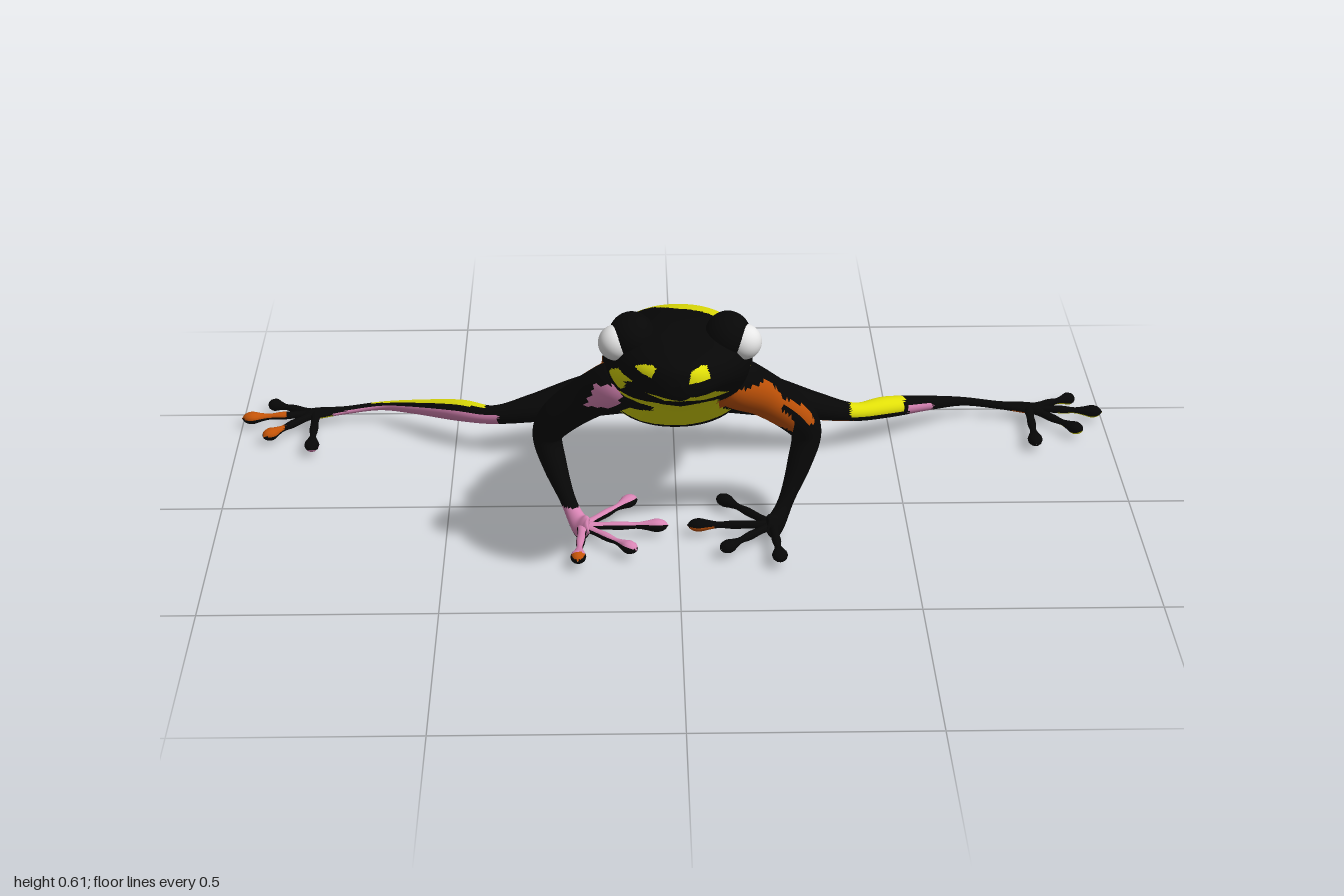
import * as THREE from 'three';

const V = (x, y, z) => new THREE.Vector3(x, y, z);
const mat = (name, color) => {
  const m = new THREE.MeshStandardMaterial({ color });
  m.name = name;
  return m;
};
const BLACK = 0, YELLOW = 1, ORANGE = 2, PINK = 3;

// Is (u, v) inside a polygon given as flat pairs?
function inside(u, v, poly) {
  let hit = false;
  for (let i = 0, j = poly.length - 2; i < poly.length; j = i, i += 2) {
    const [ax, ay, bx, by] = [poly[i], poly[i + 1], poly[j], poly[j + 1]];
    if (ay > v !== by > v && u < ((bx - ax) * (v - ay)) / (by - ay) + ax) hit = !hit;
  }
  return hit;
}

// Smooth skin through sections [x, y, z, radiusSide, radiusUp]; paint(point, normal) picks each face's colour.
function skin(name, sections, nu, nv, palette, paint, { up = V(0, 1, 0), axis = null, power = 1 } = {}) {
  const path = new THREE.CatmullRomCurve3(sections.map((s) => V(s[0], s[1], s[2])), false, 'catmullrom', 0.5);
  const radii = new THREE.CatmullRomCurve3(sections.map((s) => V(s[3], s[4], 0)), false, 'catmullrom', 0.5);
  const bend = (a) => Math.sign(a) * Math.pow(Math.abs(a), power);
  const pts = [];
  for (let i = 0; i <= nu; i++) {
    const t = i / nu, c = path.getPoint(t), r = radii.getPoint(t);
    const T = axis || path.getTangent(t);
    const S = up.clone().cross(T).normalize(), U = T.clone().cross(S);
    for (let j = 0; j < nv; j++) {
      const a = (j / nv) * Math.PI * 2;
      pts.push(c.clone().addScaledVector(S, bend(Math.cos(a)) * Math.max(r.x, 0.0005))
        .addScaledVector(U, bend(Math.sin(a)) * Math.max(r.y, 0.0005)));
    }
  }
  const faces = palette.map(() => []);
  const tri = new THREE.Triangle(), p = V(0, 0, 0), n = V(0, 0, 0);
  for (let i = 0; i < nu; i++) for (let j = 0; j < nv; j++) {
    const a = i * nv + j, b = i * nv + ((j + 1) % nv), c = b + nv, d = a + nv;
    for (const f of [[a, b, c], [a, c, d]]) {
      tri.set(...f.map((k) => pts[k]));
      tri.getMidpoint(p);
      tri.getNormal(n);
      faces[paint(p, n)].push(...f);
    }
  }
  const g = new THREE.BufferGeometry().setFromPoints(pts);
  g.setIndex(faces.flat());
  let start = 0;
  faces.forEach((f, k) => {
    if (f.length) g.addGroup(start, f.length, k);
    start += f.length;
  });
  g.computeVertexNormals();
  const mesh = new THREE.Mesh(g, palette);
  mesh.name = name;
  return mesh;
}

// Skin markings as [colour, outline], later ones on top
const TOP = [
  [YELLOW, [-0.2, 0.05, -0.06, 0.13, 0, 0.2, 0.05, 0.21, 0.12, 0.28, 0.2, 0.3, 0.2, -0.1, 0.15, -0.2, -0.2, -0.2]],
  [BLACK, [-0.2, -0.07, -0.1, -0.07, -0.055, -0.11, -0.06, -0.16, -0.1, -0.2, -0.2, -0.22]],
  [BLACK, [0.2, -0.01, 0.15, 0.01, 0.13, 0.04, 0.09, 0.03, 0.06, -0.02, 0.02, -0.05, 0.01, -0.1, 0.04, -0.135, 0.1, -0.14, 0.15, -0.11, 0.2, -0.11]],
  [BLACK, [0.05, 0.08, 0.07, 0.07, 0.09, 0.08, 0.09, 0.1, 0.07, 0.11, 0.05, 0.1]],
];
const FRONT = [
  [YELLOW, [-0.07, 0.46, -0.03, 0.45, 0.02, 0.48, 0.07, 0.47, 0.1, 0.43, 0.05, 0.41, -0.03, 0.41]],
  [YELLOW, [-0.16, 0.41, -0.15, 0.48, -0.11, 0.47, -0.12, 0.41]],
  [YELLOW, [-0.11, 0.525, -0.08, 0.545, -0.05, 0.535, -0.06, 0.515]],
  [YELLOW, [0.015, 0.51, 0.02, 0.535, 0.05, 0.545, 0.06, 0.515]],
  [YELLOW, [-0.12, 0.38, -0.05, 0.385, 0, 0.36, 0.05, 0.385, 0.08, 0.385, 0.09, 0.3, 0.12, 0.23, 0.02, 0.2, -0.08, 0.2, -0.17, 0.25, -0.16, 0.3]],
  [BLACK, [-0.17, 0.285, -0.1, 0.285, -0.055, 0.305, -0.055, 0.34, -0.1, 0.355, -0.17, 0.34]],
  [ORANGE, [0.08, 0.36, 0.2, 0.36, 0.2, 0.28, 0.09, 0.29]],
];
const LEFT = [
  [YELLOW, [0.3, 0.46, 0.265, 0.56, 0, 0.48, -0.01, 0.42, 0.02, 0.37, 0.1, 0.36, 0.06, 0.39, 0.07, 0.43, 0.15, 0.445, 0.19, 0.43, 0.22, 0.4, 0.29, 0.43]],
  [YELLOW, [-0.09, 0.3, -0.11, 0.34, -0.16, 0.33, -0.2, 0.28, -0.18, 0.255, -0.13, 0.26]],
  [YELLOW, [-0.13, 0.185, -0.2, 0.16, -0.2, 0.13, -0.14, 0.14]],
  [YELLOW, [0.045, 0.33, 0.02, 0.33, 0.015, 0.26, 0.035, 0.27]],
  [YELLOW, [0.53, 0.54, 0.49, 0.54, 0.49, 0.5, 0.53, 0.5]],
  [YELLOW, [0.51, 0.48, 0.45, 0.475, 0.38, 0.44, 0.32, 0.4, 0.34, 0.38, 0.43, 0.44, 0.5, 0.455]],
  [YELLOW, [0.28, 0.38, 0.22, 0.35, 0.2, 0.3, 0.27, 0.34]],
  [ORANGE, [0.215, 0.365, 0.16, 0.365, 0.14, 0.31, 0.1, 0.27, 0.1, 0.24, 0.15, 0.26, 0.195, 0.31]],
];
const RIGHT = [
  [YELLOW, [0.08, 0.53, 0.04, 0.4, 0.02, 0.28, -0.05, 0.18, -0.2, 0.13, -0.22, 0.27, -0.1, 0.4]],
  [YELLOW, [0.16, 0.29, 0.05, 0.29, 0, 0.2, 0.1, 0.22]],
  [BLACK, [-0.07, 0.42, -0.07, 0.35, -0.12, 0.27, -0.2, 0.24, -0.21, 0.32]],
  [ORANGE, [0.02, 0.41, 0.09, 0.4, 0.14, 0.34, 0.09, 0.27, 0.03, 0.3]],
  [YELLOW, [0.46, 0.49, 0.4, 0.5, 0.3, 0.45, 0.3, 0.39, 0.4, 0.44]],
];
const ARM_FRONT = [0.06, 0.365, 0.185, 0.365, 0.2, 0.31, 0.25, 0.255, 0.25, 0.22, 0.14, 0.26, 0.06, 0.27];
const ARM_SIDE = [0.24, 0.37, 0.155, 0.365, 0.138, 0.31, 0.1, 0.275, 0.09, 0.23, 0.2, 0.25];
const ARM_PINK = [-0.2, 0.305, -0.175, 0.365, -0.11, 0.385, -0.13, 0.32];

function paintBody(p, n) {
  let marks = FRONT, u = p.x, v = p.y;
  if (p.z < -0.325 && p.y < 0.175) return p.x < 0.05 ? PINK : BLACK;
  if (Math.abs(n.x) > (n.y < 0 && p.z < 0 ? 0.45 : 0.72)) [marks, u] = [n.x > 0 ? LEFT : RIGHT, p.z];
  else if (n.y > 0 && !(p.z > 0.44 && n.z > 0.5)) [marks, v] = [TOP, p.z];
  return marks.reduce((c, [colour, poly]) => (inside(u, v, poly) ? colour : c), BLACK);
}

// Thin digit ending in a long rounded pad
function digit(name, from, to, palette, paint) {
  const rows = [[0, 0.014, 0.01], [0.22, 0.009, 0.008], [0.45, 0.01, 0.009], [0.62, 0.007, 0.007],
    [0.74, 0.011, 0.01], [0.86, 0.017, 0.014], [0.95, 0.012, 0.01], [1, 0, 0]];
  const sections = rows.map(([t, a, b]) => [...V(...from).lerp(V(...to), t).toArray(), a, b]);
  return skin(name, sections, 28, 12, palette, paint);
}

export function createModel() {
  const frog = new THREE.Group();
  frog.name = 'frog';
  const palette = [mat('black skin', 0x070707), mat('yellow skin', 0xe0de08), mat('orange skin', 0xc45408), mat('pink skin', 0xd884b4)];
  const white = mat('eye white', 0xe8e8e8);

  // Head and trunk: z, half width, top, bottom
  const profile = [
    [-0.345, 0, 0.15, 0.145], [-0.335, 0.06, 0.18, 0.12], [-0.3, 0.1, 0.212, 0.102], [-0.2, 0.14, 0.29, 0.11],
    [-0.1, 0.16, 0.378, 0.14], [0, 0.162, 0.457, 0.185], [0.1, 0.16, 0.515, 0.245], [0.2, 0.15, 0.545, 0.31],
    [0.3, 0.147, 0.568, 0.37], [0.36, 0.14, 0.57, 0.405], [0.41, 0.122, 0.563, 0.435], [0.45, 0.098, 0.557, 0.455],
    [0.485, 0.065, 0.549, 0.465], [0.505, 0.035, 0.537, 0.475], [0.513, 0, 0.51, 0.505],
  ];
  frog.add(skin('body', profile.map(([z, w, t, b]) => [0, (t + b) / 2, z, w, (t - b) / 2]),
    160, 120, palette, paintBody, { axis: V(0, 0, 1), power: 0.92 }));

  for (const s of [1, -1]) {
    const side = s > 0 ? 'left' : 'right';
    const flip = (rows) => rows.map(([x, ...rest]) => [x * s, ...rest]);

    // Eye and its socket
    const socket = new THREE.Mesh(new THREE.SphereGeometry(0.05, 32, 20), palette[BLACK]);
    socket.scale.set(0.95, 0.96, 1.1);
    socket.position.set(0.098 * s, 0.551, 0.352);
    socket.name = side + 'EyeSocket';
    const eye = new THREE.Mesh(new THREE.SphereGeometry(0.037, 32, 20), white);
    eye.position.set(0.13 * s, 0.541, 0.365);
    eye.name = side + 'Eye';
    frog.add(socket, eye);

    // Front leg
    const arm = flip([[0.08, 0.39, 0.185, 0.03, 0.03], [0.12, 0.36, 0.16, 0.055, 0.052], [0.185, 0.31, 0.112, 0.048, 0.047],
      [0.25, 0.25, 0.077, 0.042, 0.043], [0.28, 0.195, 0.055, 0.033, 0.042], [0.265, 0.13, 0.075, 0.026, 0.034],
      [0.238, 0.065, 0.11, 0.017, 0.019], [0.218, 0.03, 0.14, 0.02, 0.014], [0.203, 0.02, 0.165, 0.028, 0.01], [0.19, 0.018, 0.185, 0, 0]]);
    frog.add(skin(side + 'FrontLeg', arm, 80, 32, palette, (p, n) => {
      if (p.y < 0.2 && p.y > 0.06 && n.z < -0.55) return YELLOW;
      if (s > 0) {
        const marked = n.x > 0.5 ? inside(p.z, p.y, ARM_SIDE) : n.z > -0.1 && n.y < 0.55 && inside(p.x, p.y, ARM_FRONT);
        return marked ? ORANGE : BLACK;
      }
      if (p.y < 0.055) return n.y > -0.3 ? PINK : BLACK;
      if (n.z > 0 && inside(p.x, p.y, ARM_PINK)) return PINK;
      return p.y > 0.28 && p.x > -0.2 && n.z < -0.2 ? ORANGE : BLACK;
    }, { up: V(0, 0, 1) }));
    [[0.215, 0.32], [0.09, 0.27], [0.02, 0.15], [0.09, 0.01]].forEach(([x, z], i) => {
      frog.add(digit(side + 'Finger' + (i + 1), [0.205 * s, 0.021, 0.155], [x * s, 0.019, z], palette, (p, n) => {
        if (s > 0) return i === 2 && p.x < 0.08 && n.y < -0.2 ? ORANGE : BLACK;
        if (n.y < 0.4) return BLACK;
        return i === 0 && p.z > 0.3 ? ORANGE : PINK;
      }));
    });

    // Hind leg
    const leg = flip([[-0.02, 0.152, -0.28, 0.04, 0.04], [0.08, 0.155, -0.281, 0.067, 0.053], [0.2, 0.133, -0.282, 0.058, 0.046],
      [0.32, 0.106, -0.278, 0.042, 0.03], [0.41, 0.086, -0.287, 0.023, 0.021], [0.49, 0.076, -0.335, 0.028, 0.024],
      [0.6, 0.052, -0.41, 0.017, 0.016], [0.68, 0.033, -0.458, 0.01, 0.01], [0.76, 0.023, -0.458, 0.011, 0.009],
      [0.82, 0.019, -0.452, 0.023, 0.01], [0.85, 0.018, -0.445, 0.02, 0.009], [0.87, 0.018, -0.44, 0, 0]]);
    frog.add(skin(side + 'HindLeg', leg, 120, 32, palette, (p, n) => {
      const x = p.x * s;
      if (x > 0.79) return n.y > -0.3 ? BLACK : s > 0 ? ORANGE : YELLOW;
      const rear = n.z < -0.2 && n.y < 0.65;
      if (s > 0) {
        if (x < 0.05 && rear) return PINK;
        if (x > 0.26 && x < 0.42 && n.y < -0.8) return ORANGE;
        if (x > 0.4 && x < 0.53 && n.y > -0.3) return YELLOW;
        return x > 0.54 && x < 0.6 && n.z > 0.3 && n.y < 0.4 ? PINK : BLACK;
      }
      if (x < 0.4) return rear || (n.y < -0.5 && n.z < 0.3) ? PINK : BLACK;
      if (x > 0.43 && x < 0.7 && n.y > 0.2 && n.z < 0.35) return YELLOW;
      return n.y <= 0.35 ? PINK : BLACK;
    }));
    [[0.945, -0.515], [1, -0.43], [0.94, -0.325], [0.825, -0.255]].forEach(([x, z], i) => {
      frog.add(digit(side + 'Toe' + (i + 1), [0.83 * s, 0.019, -0.45], [x * s, 0.016, z], palette, (p, n) => {
        const tip = Math.abs(p.x) > 0.895 && i < 3;
        if (s > 0) return tip && n.y < -0.4 ? YELLOW : BLACK;
        if (n.y < -0.3) return i === 3 ? PINK : BLACK;
        return tip && i > 0 && n.y > 0.2 ? ORANGE : BLACK;
      }));
    });
  }
  return frog;
}
